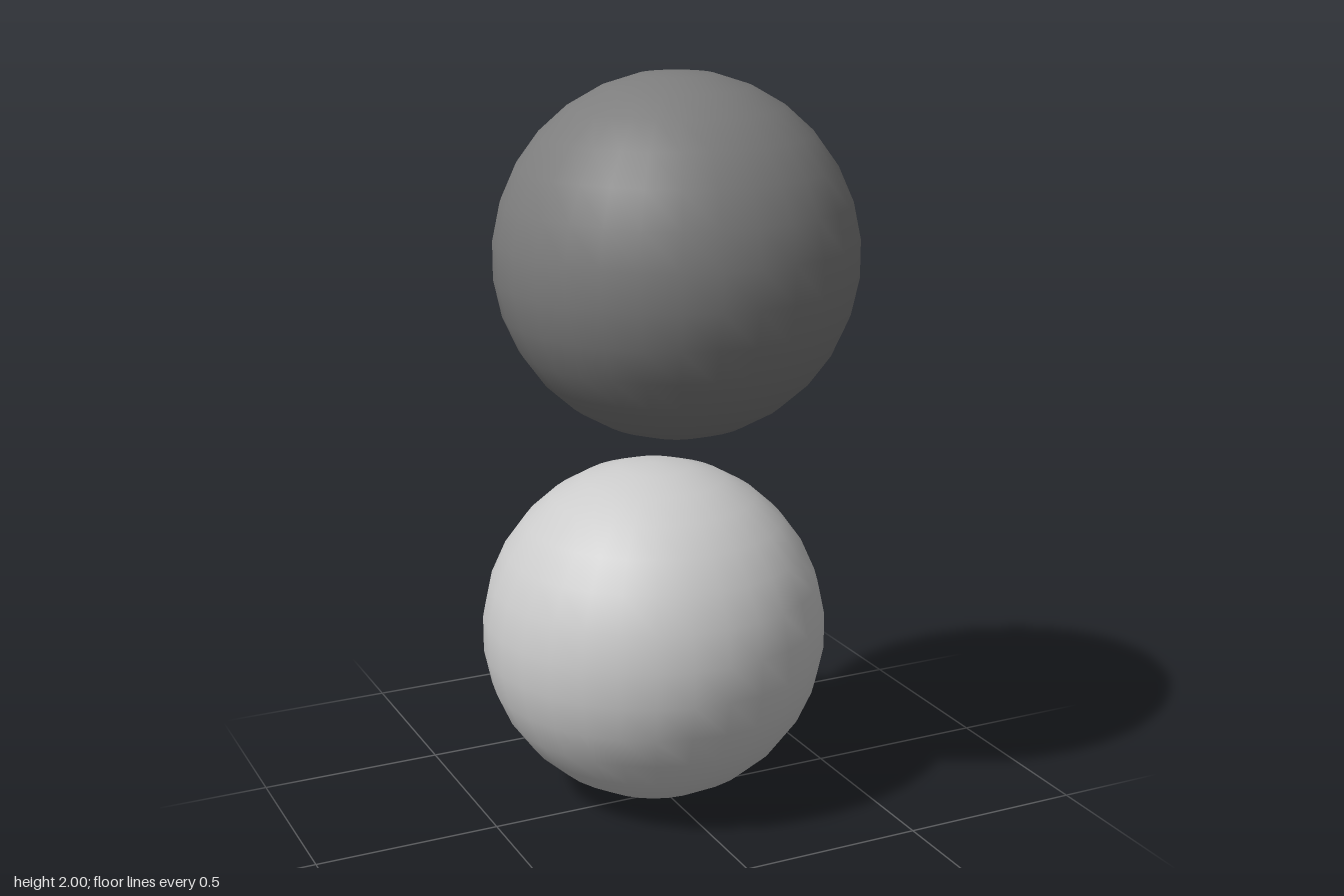
import * as THREE from 'three';

const RADIUS = 0.4706;

function ball(name, color, y, z) {
  const geometry = new THREE.SphereGeometry(RADIUS, 30, 15);
  geometry.rotateY(Math.PI / 2);
  const mesh = new THREE.Mesh(geometry, new THREE.MeshStandardMaterial({ color }));
  mesh.name = name;
  mesh.position.set(0, y, z);
  return mesh;
}

export function createModel() {
  const group = new THREE.Group();
  group.name = 'twoBalls';
  // Dark ball above, slightly forward; light ball below, slightly back
  group.add(ball('upperBall', 0x7d7d7d, 2 - RADIUS, 0.07));
  group.add(ball('lowerBall', 0xcccccc, RADIUS, -0.07));
  return group;
}
